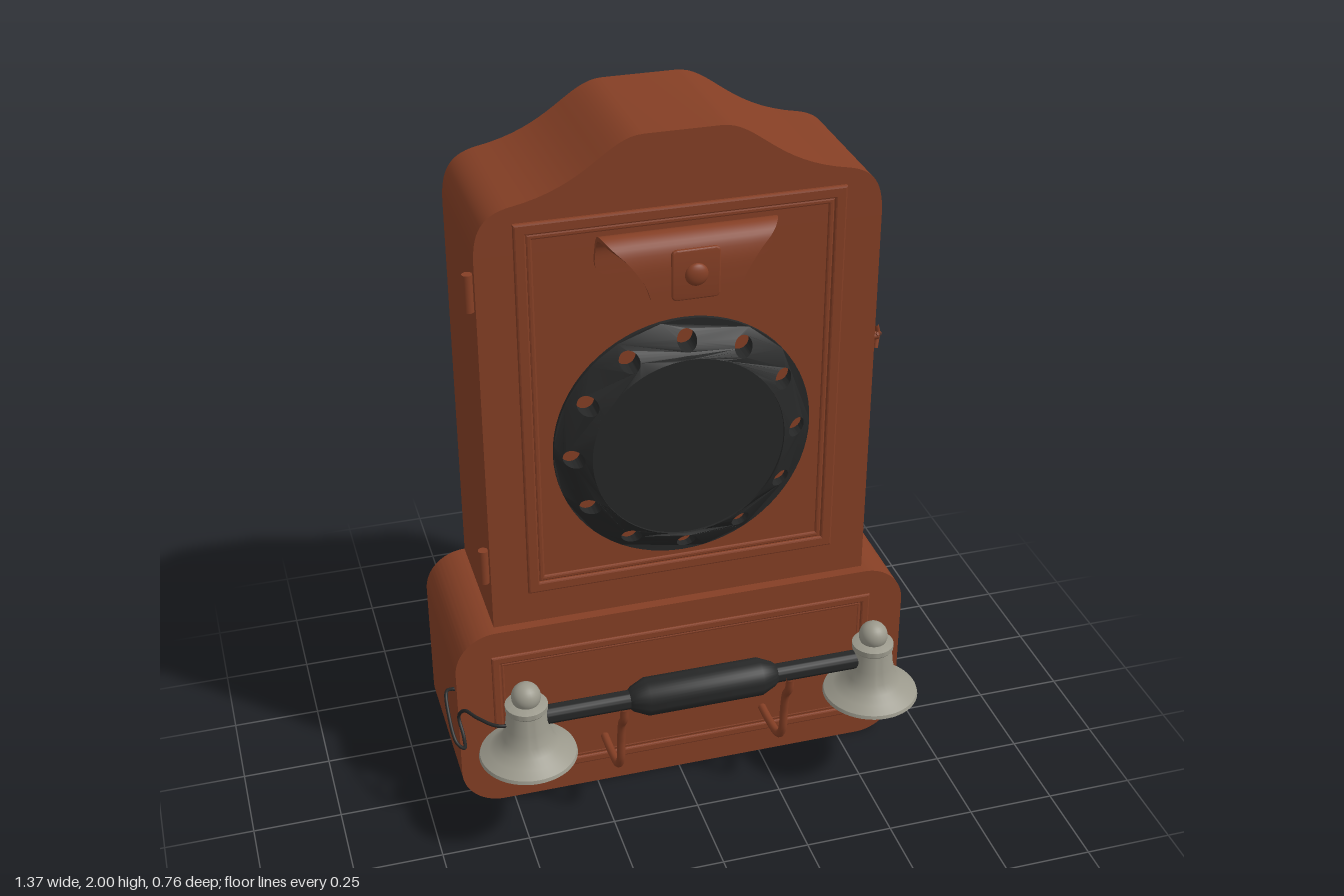
import * as THREE from 'three';
import { toCreasedNormals } from 'three/addons/utils/BufferGeometryUtils.js';

const CX = 0.015; // symmetry axis of the body
const mat = (name, color, side = THREE.FrontSide) => {
  const m = new THREE.MeshStandardMaterial({ color, side });
  m.name = name;
  return m;
};
const V = (x, y, z) => new THREE.Vector3(x, y, z);

export function createModel() {
  const wood = mat('reddish brown', 0x853f25);
  const black = mat('black', 0x262727);
  const metal = mat('grey metal', 0x9b998c, THREE.DoubleSide);
  const root = new THREE.Group();
  root.name = 'wallTelephone';

  const add = (name, geo, m, x = 0, y = 0, z = 0, parent = root) => {
    const mesh = new THREE.Mesh(geo, m);
    mesh.name = name;
    mesh.position.set(x, y, z);
    parent.add(mesh);
    return mesh;
  };
  const extrude = (shape, depth, bevel = 0) => toCreasedNormals(new THREE.ExtrudeGeometry(shape, {
    depth, curveSegments: 16, bevelEnabled: bevel > 0, bevelSize: bevel, bevelThickness: bevel,
    bevelOffset: -bevel, bevelSegments: 3,
  }), 0.6);
  const lathe = (pts, seg = 40) => toCreasedNormals(
    new THREE.LatheGeometry(pts.map(p => new THREE.Vector2(...p)), seg), 0.6);
  const tube = (pts, r, seg = 48) => new THREE.TubeGeometry(
    new THREE.CatmullRomCurve3(pts.map(p => V(...p))), seg, r, 10);
  const roundRect = (w, h, r) => {
    const s = new THREE.Shape();
    s.absarc(w - r, h - r, r, 0, Math.PI / 2);
    s.absarc(-w + r, h - r, r, Math.PI / 2, Math.PI);
    s.absarc(-w + r, -h + r, r, Math.PI, Math.PI * 1.5);
    s.absarc(w - r, -h + r, r, Math.PI * 1.5, Math.PI * 2);
    return s;
  };

  // Upper cabinet with its crested top
  const c = new THREE.Shape();
  c.moveTo(-0.545, 0.5);
  c.lineTo(0.545, 0.5);
  c.lineTo(0.545, 1.70);
  c.bezierCurveTo(0.545, 1.79, 0.52, 1.83, 0.45, 1.845);
  c.bezierCurveTo(0.24, 1.88, 0.20, 2.0, 0.10, 2.0);
  c.lineTo(-0.10, 2.0);
  c.bezierCurveTo(-0.20, 2.0, -0.24, 1.88, -0.45, 1.845);
  c.bezierCurveTo(-0.52, 1.83, -0.545, 1.79, -0.545, 1.70);
  add('cabinet', extrude(c, 0.41), wood, CX, 0, -0.38);

  // Base box
  add('base', extrude(roundRect(0.665, 0.295, 0.12), 0.443), wood, CX, 0.295, -0.383);

  // Raised rectangular mouldings, each a wide strip and a thin inner bead
  const frame = (name, w, h, band, y, z) => {
    const strip = (W, H, t, d) => {
      const s = new THREE.Shape([[-W, -H], [W, -H], [W, H], [-W, H]].map(p => new THREE.Vector2(...p)));
      const a = W - t, b = H - t;
      s.holes.push(new THREE.Path([[-a, -b], [-a, b], [a, b], [a, -b]].map(p => new THREE.Vector2(...p))));
      return new THREE.ExtrudeGeometry(s, {
        depth: d, bevelEnabled: true, bevelSize: 0.005, bevelThickness: 0.005, bevelOffset: -0.005, bevelSegments: 2,
      });
    };
    add(name, strip(w, h, band * 0.7, 0.007), wood, CX, y, z);
    add(name + 'Bead', strip(w - band * 0.7, h - band * 0.7, band * 0.35, 0.001), wood, CX, y, z);
  };
  frame('doorMoulding', 0.443, 0.555, 0.046, 1.245, 0.03);
  frame('baseMoulding', 0.563, 0.215, 0.036, 0.295, 0.055);

  // Dial: sloping ring pierced by twelve holes, around a flat disc
  const ring = new THREE.Shape();
  ring.absarc(0, 0, 0.36, 0, Math.PI * 2);
  const inner = new THREE.Path();
  inner.absarc(0, 0, 0.268, 0, Math.PI * 2, true);
  ring.holes.push(inner);
  for (let i = 0; i < 12; i++) {
    const a = i * Math.PI / 6, hole = new THREE.Path();
    hole.absarc(0.312 * Math.cos(a), 0.312 * Math.sin(a), 0.027, 0, Math.PI * 2, true);
    ring.holes.push(hole);
  }
  const ringGeo = new THREE.ExtrudeGeometry(ring, { depth: 1, bevelEnabled: false, curveSegments: 36 });
  const rp = ringGeo.attributes.position;
  for (let i = 0; i < rp.count; i++) {
    const r = Math.hypot(rp.getX(i), rp.getY(i));
    rp.setZ(i, rp.getZ(i) * (0.012 + (0.36 - r) / 0.092 * 0.058));
  }
  ringGeo.computeVertexNormals();
  add('dialRing', toCreasedNormals(ringGeo, 0.5), black, CX, 1.12, 0.032);
  add('dialDisc', new THREE.CylinderGeometry(0.27, 0.27, 0.064, 64), black, CX, 1.12, 0.063).rotation.x = Math.PI / 2;

  // Bent plate above the dial; each path point holds half width, height and depth
  const bend = new THREE.CatmullRomCurve3([
    V(0.215, 1.64, 0.042), V(0.235, 1.66, 0.042), V(0.235, 1.715, 0.045), V(0.235, 1.745, 0.064),
    V(0.235, 1.756, 0.09), V(0.215, 1.74, 0.122), V(0.172, 1.70, 0.14), V(0.132, 1.64, 0.145),
    V(0.115, 1.595, 0.145), V(0.10, 1.58, 0.145),
  ]);
  const plate = new THREE.BoxGeometry(2, 1, 0.012, 8, 40, 1);
  const pp = plate.attributes.position;
  for (let i = 0; i < pp.count; i++) {
    const t = pp.getY(i) + 0.5, p = bend.getPoint(t), d = bend.getTangent(t), k = pp.getZ(i) / Math.hypot(d.y, d.z);
    pp.setXYZ(i, pp.getX(i) * p.x, p.y - d.z * k, p.z + d.y * k);
  }
  plate.computeVertexNormals();
  add('bentPlate', toCreasedNormals(plate, 0.6), wood, CX, 0, 0);
  add('plateBoss', extrude(roundRect(0.065, 0.07, 0.015), 0.004, 0.004), wood, CX, 1.66, 0.146);
  add('plateKnob', new THREE.SphereGeometry(0.031, 24, 12), wood, CX, 1.66, 0.155).scale.z = 0.5;

  // Door hinges
  for (const y of [1.613, 0.78]) {
    add('hinge', new THREE.CylinderGeometry(0.014, 0.014, 0.105, 16), wood, -0.543, y, 0.003);
  }

  // Door latch on the side
  const latch = new THREE.Group();
  latch.name = 'doorLatch';
  root.add(latch);
  add('latchPin', new THREE.CylinderGeometry(0.012, 0.012, 0.03, 12), wood, 0.572, 1.32, -0.015, latch).rotation.z = Math.PI / 2;
  add('latchHook', tube([[0.572, 1.345, 0.025], [0.583, 1.335, 0.005], [0.585, 1.32, -0.02],
    [0.582, 1.315, -0.045], [0.585, 1.30, -0.07]], 0.007, 20), wood, 0, 0, 0, latch);
  add('latchWing', tube([[0.58, 1.355, -0.012], [0.588, 1.325, -0.018], [0.58, 1.285, -0.008]], 0.007, 16),
    wood, 0, 0, 0, latch);

  // Cradle hooks that carry the handset
  for (const s of [-1, 1]) {
    add('cradleHook', tube([[0, 0.162, 0.05], [0, 0.164, 0.14], [0, 0.178, 0.21], [0, 0.22, 0.242],
      [0, 0.30, 0.25], [0, 0.36, 0.262], [0, 0.395, 0.285], [0, 0.435, 0.292]], 0.012), wood, CX + s * 0.241, 0, 0);
  }

  // Handset bar with a thick grip
  const bar = lathe([[0, -0.48], [0.027, -0.48], [0.027, -0.215], [0.036, -0.205], [0.054, -0.165],
    [0.054, 0.165], [0.036, 0.205], [0.027, 0.215], [0.027, 0.48], [0, 0.48]]);
  add('handsetBar', bar, black, CX, 0.425, 0.243).rotation.z = Math.PI / 2;

  // Flared bells at both ends of the handset
  for (const s of [-1, 1]) {
    const x = CX + s * 0.505;
    add('bell', lathe([[0.125, 0.31], [0.13, 0.30], [0.137, 0.302], [0.134, 0.312], [0.108, 0.328], [0.085, 0.345],
      [0.07, 0.37], [0.061, 0.405], [0.055, 0.455], [0.059, 0.46], [0.059, 0.475], [0.04, 0.482], [0, 0.485]], 48),
    metal, x, 0, 0.243);
    add('bellKnob', new THREE.SphereGeometry(0.041, 24, 16), metal, x, 0.50, 0.243);
  }

  // Cord looping from the handset to the side of the base
  add('cord', tube([[-0.50, 0.41, 0.243], [-0.57, 0.412, 0.24], [-0.615, 0.41, 0.19], [-0.64, 0.39, 0.12],
    [-0.652, 0.34, 0.08], [-0.648, 0.30, 0.12], [-0.655, 0.295, 0.165], [-0.676, 0.32, 0.165], [-0.683, 0.37, 0.10],
    [-0.678, 0.41, 0.05], [-0.66, 0.40, 0.025], [-0.64, 0.39, 0.02]], 0.005, 80), black);

  return root;
}
